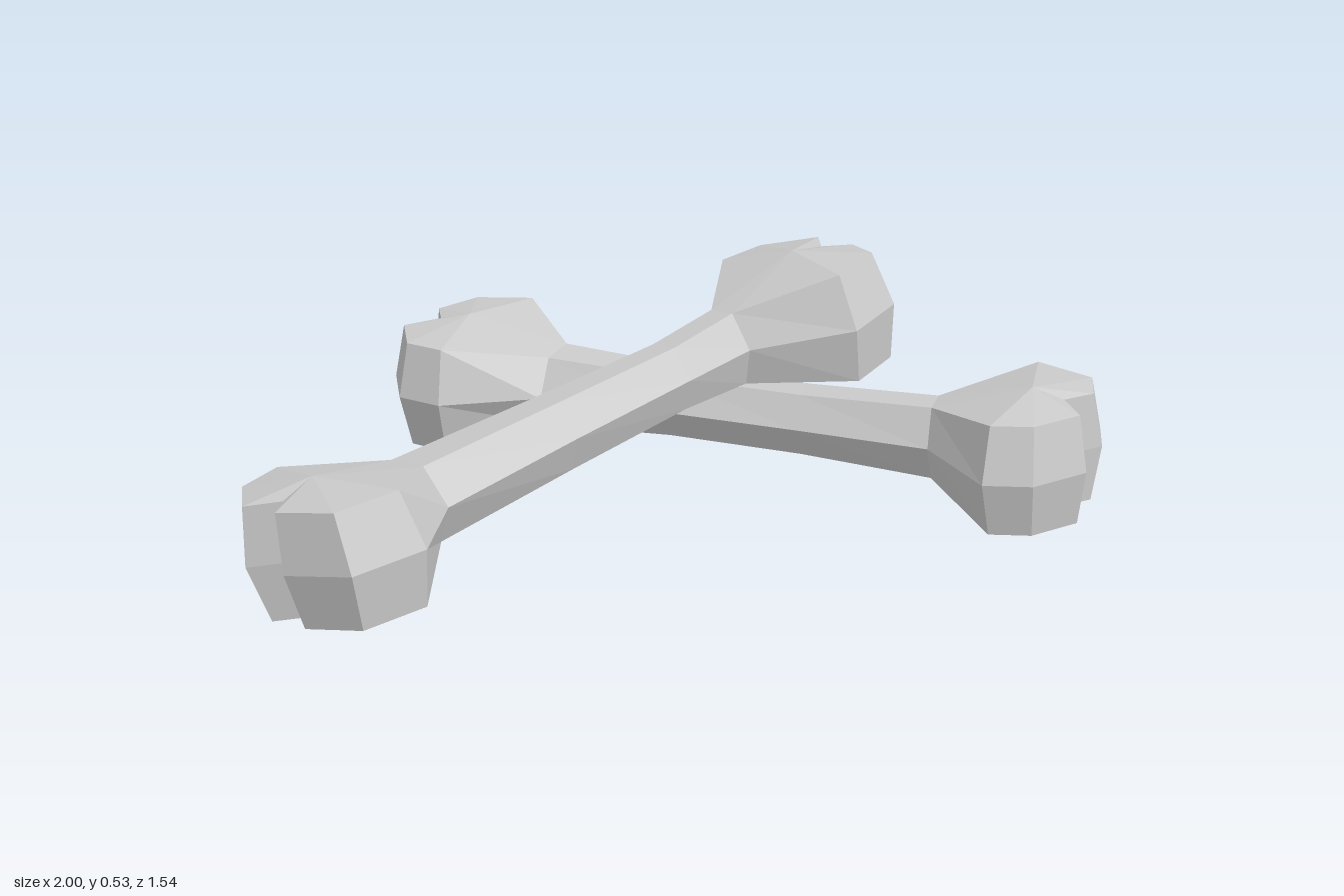
import * as THREE from 'three';

const material = new THREE.MeshStandardMaterial({ color: 0xcccccc, flatShading: true });

const RIM = 0.132, PEAK = 0.155, SHAFT = 0.088; // half heights

const mesh = (name, triangles) => {
  const geometry = new THREE.BufferGeometry().setFromPoints(triangles);
  geometry.computeVertexNormals();
  const m = new THREE.Mesh(geometry, material);
  m.name = name;
  return m;
};
const mix = (a, b, t) => [a[0] + (b[0] - a[0]) * t, a[1] + (b[1] - a[1]) * t];

// Puts a plan point on the bone's tilted middle plane, raised by h along its normal
const placer = ({ origin: [x0, y0, z0], slope: [sx, sz] }) => ([x, z], h) =>
  new THREE.Vector3(x - sx * h, y0 + sx * (x - x0) + sz * (z - z0) + h, z - sz * h);

// Two-lobed end: outline at mid height, inset rims and a peak above and below.
// The first and last outline points join the shaft.
function makeKnob(name, outline, place) {
  let pts = outline;
  const n = pts.length;
  const area = pts.reduce((s, p, i) => {
    const q = pts[(i + 1) % n];
    return s + p[1] * q[0] - p[0] * q[1];
  }, 0);
  if (area < 0) pts = [...pts].reverse();
  const centre = [0, 1].map(k => pts.reduce((s, p) => s + p[k], 0) / n);
  const rim = sign => pts.map((p, i) => {
    if (i === 0) return place(mix(p, pts[n - 1], 0.25), sign * SHAFT);
    if (i === n - 1) return place(mix(p, pts[0], 0.25), sign * SHAFT);
    return place(mix(p, centre, 0.14), sign * RIM);
  });
  const mid = pts.map(p => place(p, 0));
  const up = rim(1), low = rim(-1);
  const top = place(centre, PEAK), bottom = place(centre, -PEAK);
  const tris = [];
  for (let i = 0; i < n; i++) {
    const j = (i + 1) % n;
    tris.push(top, up[i], up[j], bottom, low[j], low[i]);
    if (j === 0) continue; // open towards the shaft
    for (const [a, b] of [[up, mid], [mid, low]]) {
      tris.push(a[i], b[i], b[j], a[i], b[j], a[j]);
    }
  }
  return mesh(name, tris);
}

// Six-sided shaft through pairs of [back edge, front edge, half height]
function makeShaft(stations, place) {
  const rings = stations.map(([a, b, h]) => [
    place(a, 0), place(mix(a, b, 0.25), h), place(mix(b, a, 0.25), h),
    place(b, 0), place(mix(b, a, 0.25), -h), place(mix(a, b, 0.25), -h),
  ]);
  const tris = [];
  for (let i = 0; i < rings.length - 1; i++) {
    for (let j = 0; j < 6; j++) {
      const k = (j + 1) % 6, r = rings[i], s = rings[i + 1];
      tris.push(r[j], r[k], s[k], r[j], s[k], s[j]);
    }
  }
  return mesh('shaft', tris);
}

function makeBone(name, spec) {
  const { right, left, middle } = spec;
  const place = placer(spec);
  const ends = o => [o[0], o[o.length - 1], SHAFT];
  const bone = new THREE.Group();
  bone.name = name;
  bone.add(
    makeKnob('rightKnob', right, place),
    makeKnob('leftKnob', left, place),
    makeShaft([ends(right), ...middle, ends(left)], place),
  );
  return bone;
}

// Plan outlines as [x, z], running from the shaft's back edge to its front edge
const upperBone = {
  origin: [-0.8, 0.19, 0.53],
  slope: [0.19, 0.062],
  right: [[-0.69, 0.31], [-0.91, 0.33], [-1, 0.42], [-1, 0.57], [-0.9, 0.6],
    [-0.92, 0.67], [-0.78, 0.77], [-0.62, 0.71], [-0.56, 0.49]],
  left: [[0.12, -0.23], [0.19, -0.46], [0.31, -0.52], [0.47, -0.47], [0.46, -0.37],
    [0.54, -0.32], [0.57, -0.2], [0.45, -0.06], [0.2, -0.1]],
  middle: [[[-0.34, 0.09], [-0.25, 0.24], 0.08], [[-0.04, -0.11], [0.04, 0.02], 0.075]],
};
const lowerBone = {
  origin: [-0.42, 0.155, -0.54],
  slope: [0.02, 0.011],
  right: [[-0.17, -0.51], [-0.23, -0.73], [-0.39, -0.77], [-0.51, -0.69], [-0.51, -0.6],
    [-0.62, -0.56], [-0.62, -0.4], [-0.53, -0.32], [-0.28, -0.32]],
  left: [[0.64, 0.04], [0.89, -0.02], [1, 0.13], [0.97, 0.25], [0.88, 0.28],
    [0.89, 0.4], [0.75, 0.46], [0.64, 0.43], [0.57, 0.19]],
  middle: [[[0.09, -0.32], [0, -0.17], 0.075], [[0.37, -0.13], [0.29, 0.01], 0.075]],
};

export function createModel() {
  const group = new THREE.Group();
  group.name = 'crossedBones';
  group.add(makeBone('upperBone', upperBone), makeBone('lowerBone', lowerBone));
  return group;
}
